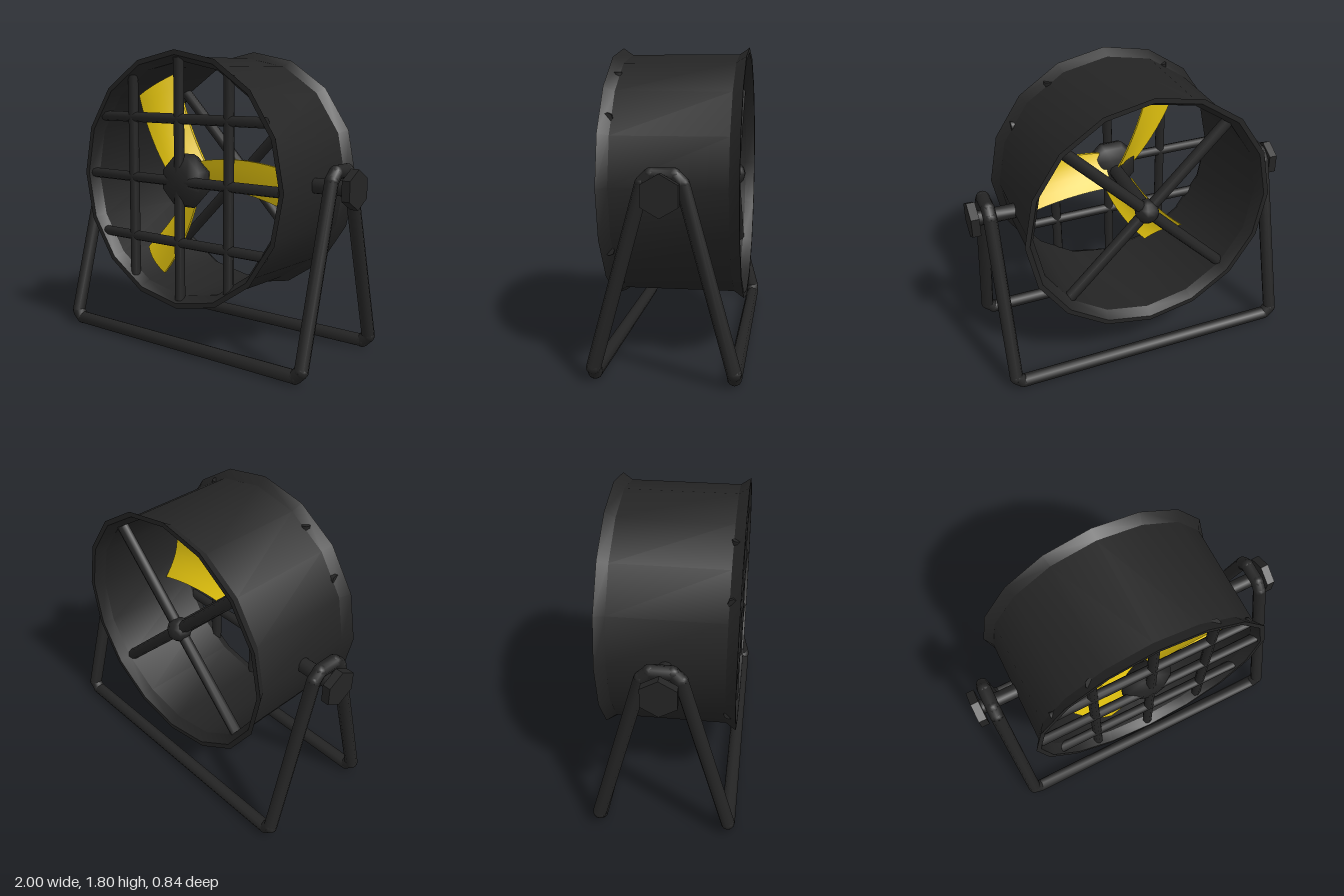
import * as THREE from 'three';
import { toCreasedNormals } from 'three/addons/utils/BufferGeometryUtils.js';

const CENTRE_Y = 1.035;

export function createModel() {
  const black = new THREE.MeshStandardMaterial({ color: 0x242424 });
  black.name = 'black metal';
  const yellow = new THREE.MeshStandardMaterial({ color: 0xe6c60f });
  yellow.name = 'yellow blade';

  const model = new THREE.Group();
  model.name = 'drumFan';
  const fan = new THREE.Group();
  fan.name = 'fan';
  fan.position.y = CENTRE_Y;
  model.add(fan);

  const add = (parent, name, geometry, material = black) => {
    const mesh = new THREE.Mesh(geometry, material);
    mesh.name = name;
    parent.add(mesh);
    return mesh;
  };
  const vec = (x, y, z) => new THREE.Vector3(x, y, z);

  // Round bar between two points
  const bar = (parent, name, a, b, radius, sides = 8) => {
    const dir = b.clone().sub(a);
    const geo = toCreasedNormals(new THREE.CylinderGeometry(radius, radius, dir.length(), sides), 0.9);
    const mesh = add(parent, name, geo);
    mesh.position.copy(a).add(b).multiplyScalar(0.5);
    mesh.quaternion.setFromUnitVectors(vec(0, 1, 0), dir.normalize());
    return mesh;
  };

  // Sixteen-sided drum with flared lips
  const profile = [
    [0.73, -0.33], [0.73, 0.33], [0.77, 0.39], [0.74, 0.39], [0.705, 0.33],
    [0.705, -0.33], [0.74, -0.39], [0.77, -0.39], [0.73, -0.33],
  ].map(([r, z]) => new THREE.Vector2(r, z));
  const drum = new THREE.LatheGeometry(profile, 16);
  drum.rotateX(Math.PI / 2);
  add(fan, 'drum', toCreasedNormals(drum, 0.45));

  // Front grille
  for (const offset of [-0.37, 0, 0.37]) {
    const half = Math.sqrt(0.725 ** 2 - offset ** 2);
    bar(fan, 'grilleUpright', vec(offset, -half, 0.35), vec(offset, half, 0.35), 0.031);
    bar(fan, 'grilleCrossbar', vec(-half, offset, 0.35), vec(half, offset, 0.35), 0.031);
  }

  // Front hub
  const hub = new THREE.SphereGeometry(0.175, 8, 6);
  hub.rotateX(Math.PI / 2);
  hub.rotateZ(Math.PI / 8);
  hub.scale(1, 1, 0.57);
  add(fan, 'frontHub', hub).position.z = 0.29;

  // Rear diagonal struts, boss and shaft
  for (const s of [-1, 1]) {
    bar(fan, 'rearStrut', vec(-0.5, -0.5 * s, -0.3), vec(0.5, 0.5 * s, -0.3), 0.036);
  }
  add(fan, 'rearBoss', new THREE.SphereGeometry(0.075, 10, 6)).position.z = -0.3;
  bar(fan, 'shaft', vec(0, 0, -0.3), vec(0, 0, 0.29), 0.045);

  // Twisted, cambered blade: u runs from root to tip, v from lower to upper edge
  const blade = new THREE.BoxGeometry(1, 1, 0.016, 8, 5, 1);
  const pos = blade.attributes.position;
  for (let i = 0; i < pos.count; i++) {
    const u = pos.getX(i) + 0.5;
    const v = pos.getY(i) + 0.5;
    const upper = 0.115 + 0.12 * u * (1 - u);
    const lower = -0.055 + 0.01 * u - 0.1 * u * u;
    const twist = 0.05 + 0.025 * (1 - u);
    pos.setXYZ(
      i,
      0.06 + u * (0.59 - 0.01 * v),
      lower + (upper - lower) * v,
      pos.getZ(i) + 0.19 + twist * (2 * v - 1) + 0.1 * v * (1 - v)
    );
  }
  blade.computeVertexNormals();
  for (let i = 0; i < 3; i++) {
    add(fan, 'blade', blade, yellow).rotation.z = (i * Math.PI * 2) / 3;
  }

  // Pivot axles and hexagonal knobs
  for (const side of [-1, 1]) {
    bar(fan, 'axle', vec(side * 0.72, 0, 0), vec(side * 0.96, 0, 0), 0.045, 12);
    const knob = new THREE.CylinderGeometry(0.115, 0.115, 0.05, 6);
    knob.rotateY(Math.PI / 2);
    knob.rotateZ(Math.PI / 2);
    add(fan, 'knob', toCreasedNormals(knob, 0.5)).position.x = side * 0.975;
  }

  // Stand: one closed loop of tube, a quarter mirrored in x and z
  const stand = new THREE.Group();
  stand.name = 'stand';
  model.add(stand);
  const quarter = [
    [0.85, 0.041, 0.38], [0.89, 0.08, 0.38], [0.89, 1.085, 0.105], [0.89, 1.13, 0.06],
  ];
  const joint = new THREE.SphereGeometry(0.041, 10, 8);
  for (const sx of [-1, 1]) {
    for (const sz of [-1, 1]) {
      const points = quarter.map(([x, y, z]) => vec(sx * x, y, sz * z));
      points.forEach((p, i) => {
        add(stand, 'joint', joint).position.copy(p);
        if (i > 0) bar(stand, 'leg', points[i - 1], p, 0.041);
      });
    }
    bar(stand, 'legTop', vec(sx * 0.89, 1.13, -0.06), vec(sx * 0.89, 1.13, 0.06), 0.041);
    bar(stand, 'baseBar', vec(-0.85, 0.041, sx * 0.38), vec(0.85, 0.041, sx * 0.38), 0.041);
  }

  return model;
}
